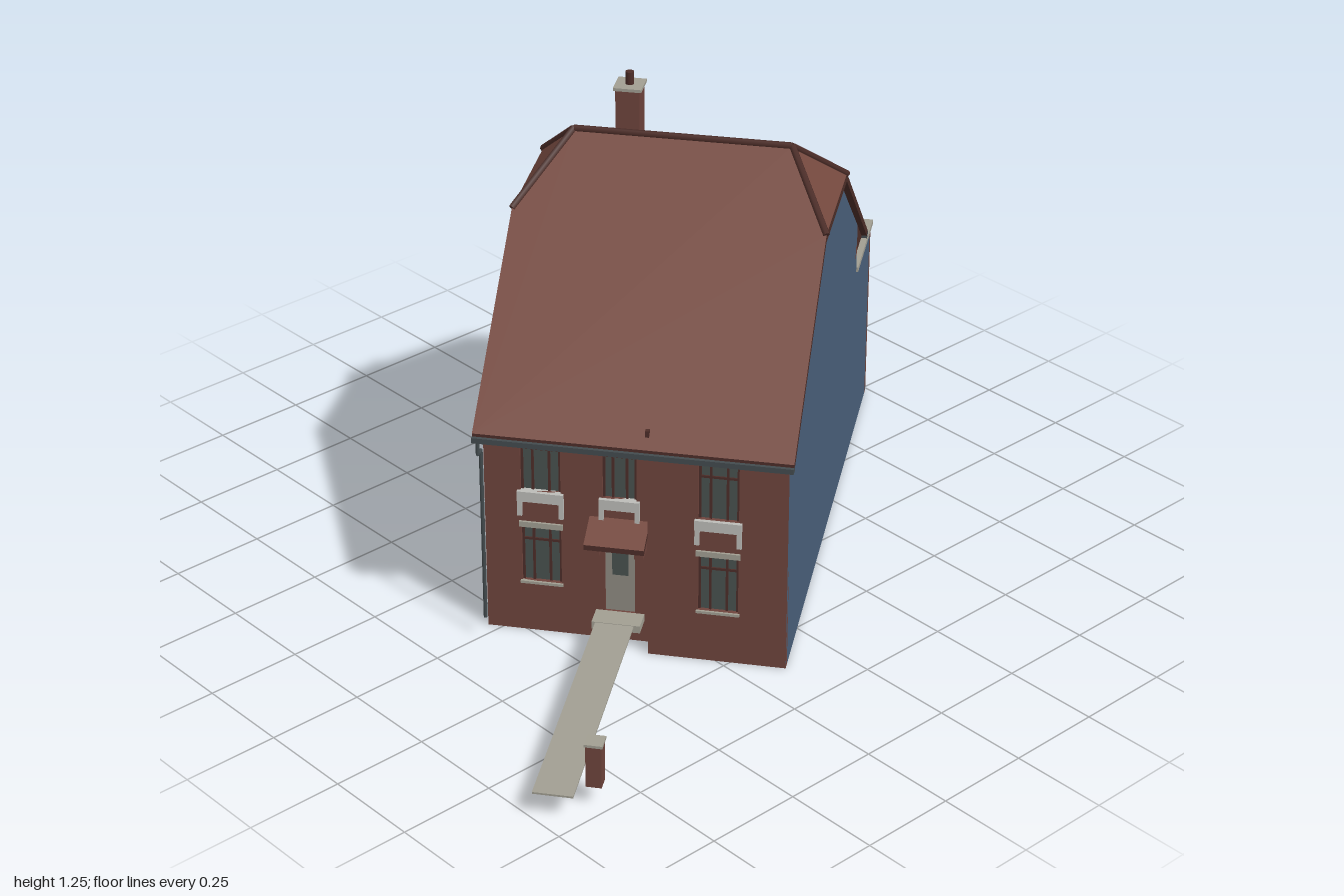
import * as THREE from 'three';

const mat = (name, color, side = THREE.FrontSide) => {
  const m = new THREE.MeshStandardMaterial({ color, side });
  m.name = name;
  return m;
};

export function createModel() {
  const brick = mat('brick', 0x6e443c);
  const tile = mat('roofTile', 0x75493f);
  const trim = mat('darkTrim', 0x4c2d28);
  const blue = mat('partyWallBlue', 0x4a607a);
  const stone = mat('stone', 0xa19e92);
  const pale = mat('paleSill', 0xbcbcb8);
  const glass = mat('glass', 0x48514f);
  const pipe = mat('gutterGrey', 0x434b4e);
  const doorGrey = mat('doorGrey', 0x8e8a82);

  const root = new THREE.Group();
  root.name = 'house';
  const house = new THREE.Group();
  house.name = 'rotatedHouse';
  house.rotation.y = 0.641; // the plan is turned on the plot
  root.add(house);

  const add = (parent, name, geo, material) => {
    const m = new THREE.Mesh(geo, material);
    m.name = name;
    parent.add(m);
    return m;
  };
  // box from its minimum and maximum corners
  const box = (parent, name, material, x0, x1, y0, y1, z0, z1) => {
    const m = add(parent, name, new THREE.BoxGeometry(x1 - x0, y1 - y0, z1 - z0), material);
    m.position.set((x0 + x1) / 2, (y0 + y1) / 2, (z0 + z1) / 2);
    return m;
  };
  // round bar between two points
  const bar = (name, material, a, b, r, sides = 6) => {
    const p = new THREE.Vector3(...a), q = new THREE.Vector3(...b);
    const d = q.clone().sub(p);
    const m = add(house, name, new THREE.CylinderGeometry(r, r, d.length(), sides), material);
    m.position.copy(p).lerp(q, 0.5);
    m.quaternion.setFromUnitVectors(new THREE.Vector3(0, 1, 0), d.normalize());
    return m;
  };

  // window set into an opening, facing local +z
  const addWindow = (g, { x, w, y0, y1, style }) => {
    const l = x - w / 2, r = x + w / 2, h = y1 - y0;
    box(g, 'windowGlass', glass, l, r, y0, y1, -0.017, -0.011);
    for (const s of [0, 0.28, 0.72, 1]) {
      const c = l + 0.003 + s * (w - 0.006);
      box(g, 'windowUpright', trim, c - 0.003, c + 0.003, y0, y1, -0.02, -0.007);
    }
    box(g, 'windowTransom', trim, l, r, y1 - h * 0.27, y1 - h * 0.27 + 0.006, -0.02, -0.007);
    box(g, 'lintel', stone, l - 0.005, r + 0.005, y1, y1 + 0.015, -0.01, 0.006);
    if (style === 'plain') box(g, 'sill', stone, l - 0.004, r + 0.004, y0 - 0.007, y0, -0.012, 0.006);
    else {
      box(g, 'paleSill', pale, l - 0.008, r + 0.008, y0 - 0.028, y0, -0.012, 0.01);
      const legs = style === 'legs' ? [l - 0.008, r - 0.004] : style === 'oneLeg' ? [r - 0.004] : [];
      for (const c of legs) box(g, 'sillLeg', pale, c, c + 0.012, y0 - 0.07, y0 - 0.028, 0, 0.008);
    }
  };

  // wall with openings; its outer face lies on local z = 0
  const wall = (name, material, [x, z], turn, outline, windows = [], door = null) => {
    const g = new THREE.Group();
    g.name = name;
    g.position.set(x, 0, z);
    g.rotation.y = turn;
    house.add(g);
    const shape = new THREE.Shape(outline.map(p => new THREE.Vector2(...p)));
    for (const o of door ? [...windows, door] : windows) {
      const l = o.x - o.w / 2, r = o.x + o.w / 2;
      shape.holes.push(new THREE.Path([[l, o.y0], [l, o.y1], [r, o.y1], [r, o.y0]].map(p => new THREE.Vector2(...p))));
    }
    const geo = new THREE.ExtrudeGeometry(shape, { depth: 0.02, bevelEnabled: false });
    geo.translate(0, 0, -0.02);
    add(g, name + 'Surface', geo, material);
    windows.forEach(o => addWindow(g, o));
    return g;
  };
  const rect = (x0, x1, y1) => [[x0, 0], [x1, 0], [x1, y1], [x0, y1]];
  const pair = (x, w = 0.1) => [
    { x, w, y0: 0.405, y1: 0.56, style: 'legs' },
    { x, w, y0: 0.145, y1: 0.302, style: 'plain' },
  ];

  // main dimensions
  const L = -0.36, R = 0.403, F1 = 0.43, F2 = 0.482, B = -0.655, J = 0.058;
  const EX = -0.02, EB = -0.94, mid = -0.119;
  const roofY = z => 1.13 - 0.84 * Math.abs(z - mid);
  const under = z => roofY(z) - 0.022;
  const capZ = 0.165, capY = 0.962;

  // front walls with a step in the facade
  const door = { x: -0.022, w: 0.075, y0: 0.08, y1: 0.29 };
  const front = wall('frontWallLeft', brick, [0, F1], 0, rect(L, J, 0.6),
    [...pair(-0.219), { x: -0.022, w: 0.085, y0: 0.405, y1: 0.56, style: 'legs' }], door);
  wall('frontWallRight', brick, [0, F2], 0, rect(J, R, 0.6), pair(0.2325));
  wall('facadeStep', brick, [J, 0], -Math.PI / 2, rect(F1 - 0.02, F2, 0.6));

  // door, step and canopy
  box(front, 'door', doorGrey, door.x - 0.0375, door.x + 0.0375, 0.08, 0.29, -0.016, -0.006);
  box(front, 'doorPane', glass, door.x - 0.02, door.x + 0.02, 0.185, 0.27, -0.006, -0.003);
  box(front, 'doorStep', stone, -0.083, 0.039, 0.06, 0.08, 0, 0.057);
  for (const x of [-0.085, 0.024]) box(front, 'canopyBracket', brick, x, x + 0.022, 0.27, 0.312, 0, 0.05);

  // gable on the left side
  const gableTop = (z0, z1) => [[z1, under(z1)], [mid + capZ, capY], [mid - capZ, capY], [z0, under(z0)]];
  wall('leftGable', brick, [L, 0], -Math.PI / 2, [[B, 0], [F1, 0], ...gableTop(B, F1)], [
    { x: -0.3, w: 0.085, y0: 0.452, y1: 0.55, style: 'oneLeg' },
    { x: 0.097, w: 0.08, y0: 0.182, y1: 0.285, style: 'bar' },
  ]);
  // blue party wall, running on past the rear extension
  wall('partyWall', blue, [R, 0], Math.PI / 2,
    [[EB, 0], [F2, 0], ...gableTop(B, F2), [B, 0.525], [EB, 0.525]].map(([z, y]) => [-z, y]));

  // back walls and rear extension
  wall('backWall', brick, [0, B], Math.PI, [[-EX, 0], [-L, 0], [-L, 0.6], [-R, 0.6], [-R, 0.5], [-EX, 0.5]], pair(0.185));
  wall('extensionSide', brick, [EX, 0], -Math.PI / 2, rect(EB, B + 0.02, 0.52));
  wall('extensionBack', brick, [0, EB], Math.PI, rect(-R, -EX, 0.52), [
    { x: -0.19, w: 0.1, y0: 0.38, y1: 0.495, style: 'legs' },
    { x: -0.19, w: 0.1, y0: 0.155, y1: 0.285, style: 'legs' },
  ]);
  box(house, 'extensionRoof', glass, EX, R, 0.505, 0.515, EB, B);
  box(house, 'copingBack', stone, EX - 0.006, R + 0.005, 0.518, 0.532, EB - 0.008, EB + 0.03);
  box(house, 'copingLeft', stone, EX - 0.006, EX + 0.028, 0.518, 0.532, EB + 0.03, B);
  box(house, 'copingRight', stone, R - 0.028, R + 0.005, 0.518, 0.532, EB + 0.03, B);

  // sloping slab: corners counter-clockwise from above, tile on top and trim elsewhere
  const slab = (name, pts, t) => {
    const pos = [], n = pts.length;
    const low = pts.map(([x, y, z]) => [x, y - t, z]);
    for (let i = 1; i < n - 1; i++) pos.push(...pts[0], ...pts[i], ...pts[i + 1]);
    const topCount = pos.length / 3;
    for (let i = 1; i < n - 1; i++) pos.push(...low[0], ...low[i + 1], ...low[i]);
    for (let i = 0; i < n; i++) {
      const j = (i + 1) % n;
      pos.push(...pts[i], ...low[i], ...low[j], ...pts[i], ...low[j], ...pts[j]);
    }
    const geo = new THREE.BufferGeometry();
    geo.setAttribute('position', new THREE.Float32BufferAttribute(pos, 3));
    geo.computeVertexNormals();
    geo.addGroup(0, topCount, 0);
    geo.addGroup(topCount, pos.length / 3 - topCount, 1);
    return add(house, name, geo, [tile, trim]);
  };

  // half-hipped main roof
  const x0 = -0.366, x1 = 0.418, half = 0.631, hip = 0.175;
  const ridgeL = [-0.246, 1.13, mid], ridgeR = [0.304, 1.13, mid];
  const at = (x, dz) => [x, roofY(mid + dz), mid + dz];
  slab('roofFront', [at(x0, half), at(x1, half), at(x1, hip), ridgeR, ridgeL, at(x0, hip)], 0.022);
  slab('roofBack', [at(x1, -half), at(x0, -half), at(x0, -hip), ridgeL, ridgeR, at(x1, -hip)], 0.022);
  slab('roofHipLeft', [at(x0, -hip), at(x0, hip), ridgeL], 0.022);
  slab('roofHipRight', [at(x1, hip), at(x1, -hip), ridgeR], 0.022);
  bar('ridgeTiles', trim, ridgeL, ridgeR, 0.009);
  for (const s of [-1, 1]) {
    bar('hipTilesLeft', trim, at(x0, s * hip), ridgeL, 0.009);
    bar('hipTilesRight', trim, at(x1, s * hip), ridgeR, 0.009);
    // boxed eaves and gutters
    const wz = s > 0 ? F1 : B, ez = mid + s * half;
    const eave = new THREE.Shape([[wz, 0.58], [ez, 0.58], [wz, under(wz)]].map(p => new THREE.Vector2(...p)));
    const m = add(house, 'boxedEave', new THREE.ExtrudeGeometry(eave, { depth: R - L, bevelEnabled: false }), trim);
    m.rotation.y = -Math.PI / 2;
    m.position.x = R;
    box(house, 'gutter', pipe, x0, x1, 0.578, 0.592, ez - 0.009, ez + 0.009);
  }
  slab('canopyRoof', [[-0.097, 0.312, 0.505], [0.053, 0.312, 0.505], [0.053, 0.35, F1], [-0.097, 0.35, F1]], 0.014);
  box(house, 'roofVent', trim, 0.053, 0.063, 0.61, 0.638, 0.475, 0.487);

  // downpipes with an offset below each gutter
  const downpipe = pts => pts.slice(1).forEach((p, i) => bar('downpipe', pipe, pts[i], p, 0.005, 8));
  downpipe([[-0.352, 0.58, 0.515], [-0.352, 0.545, 0.515], [-0.352, 0.54, 0.486], [-0.352, 0.06, 0.486]]);
  downpipe([[-0.35, 0.58, -0.745], [-0.35, 0.545, -0.742], [-0.345, 0.543, -0.675], [-0.345, 0.06, -0.675]]);

  // chimney
  const cx = -0.125, cz = -0.225;
  const block = (name, m, s, y0, y1, x = cx, z = cz) => box(house, name, m, x - s, x + s, y0, y1, z - s, z + s);
  block('chimneyStack', brick, 0.031, 0.97, 1.207);
  block('chimneyCap', stone, 0.036, 1.207, 1.215);
  bar('chimneyPot', trim, [cx, 1.21, cz], [cx, 1.248, cz], 0.011, 10);

  // garden path and gate pillar
  const path = box(house, 'gardenPath', stone, -0.074, 0.023, 0.068, 0.073, 0.485, 1.185);
  path.rotation.x = 0.016;
  block('gatePillar', brick, 0.019, 0.055, 0.167, 0.058, 1.106);
  block('pillarCap', stone, 0.022, 0.167, 0.174, 0.058, 1.106);

  return root;
}
